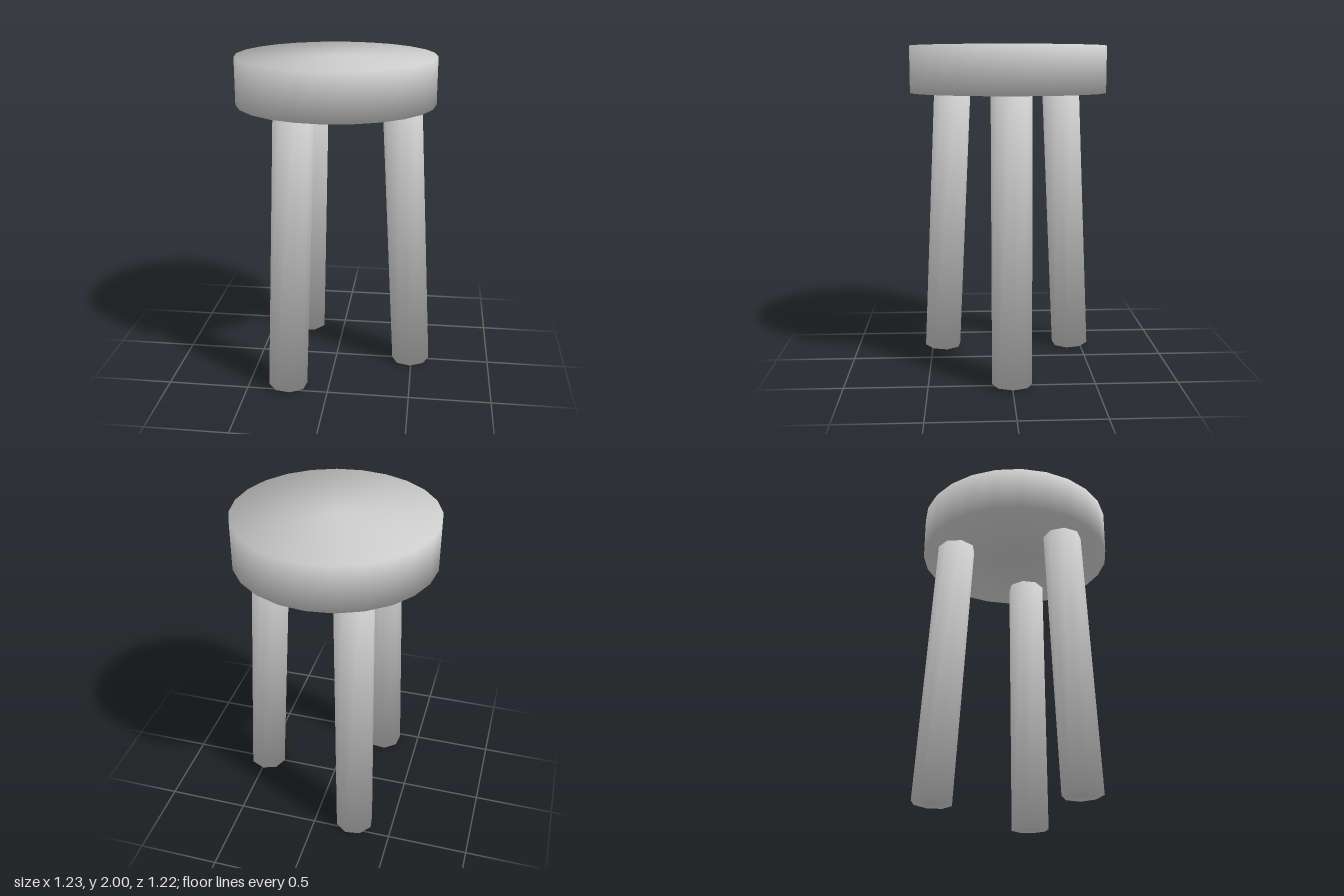
import * as THREE from 'three';

// Cylinder whose rim normals are blended between the side and the cap, for a soft pillowed look.
function softCylinder(radius, height, sides) {
  const geometry = new THREE.CylinderGeometry(radius, radius, height, sides);
  const position = geometry.attributes.position;
  const normal = geometry.attributes.normal;
  const n = new THREE.Vector3();
  for (let i = 0; i < position.count; i++) {
    const up = Math.sign(position.getY(i));
    n.set(position.getX(i) / radius, up, position.getZ(i) / radius).normalize();
    normal.setXYZ(i, n.x, n.y, n.z);
  }
  return geometry;
}

export function createModel() {
  const stool = new THREE.Group();
  stool.name = 'stool';
  const grey = new THREE.MeshStandardMaterial({ color: 0xcccccc });
  grey.name = 'light grey';

  // Round seat
  const seatBottom = 1.715;
  const seat = new THREE.Mesh(softCylinder(0.608, 2 - seatBottom, 24), grey);
  seat.name = 'seat';
  seat.position.y = (2 + seatBottom) / 2;
  stool.add(seat);

  // Three splayed octagonal legs, running a little way into the seat
  const foot = new THREE.Vector3(0.499, 0.007, 0);
  const tilt = 0.0556;
  const length = 1.75;
  const legGeometry = softCylinder(0.12, length, 8);
  for (let i = 0; i < 3; i++) {
    const pivot = new THREE.Group();
    pivot.name = ['leftLeg', 'backRightLeg', 'frontRightLeg'][i];
    pivot.rotation.y = (i * Math.PI * 2) / 3;
    const leg = new THREE.Mesh(legGeometry, grey);
    leg.name = 'legPost';
    leg.rotation.z = tilt;
    leg.position.set(
      foot.x - (Math.sin(tilt) * length) / 2,
      foot.y + (Math.cos(tilt) * length) / 2,
      0
    );
    pivot.add(leg);
    stool.add(pivot);
  }

  // Centre the overall width
  stool.position.x = -0.006;
  const model = new THREE.Group();
  model.name = 'roundStool';
  model.add(stool);
  return model;
}
